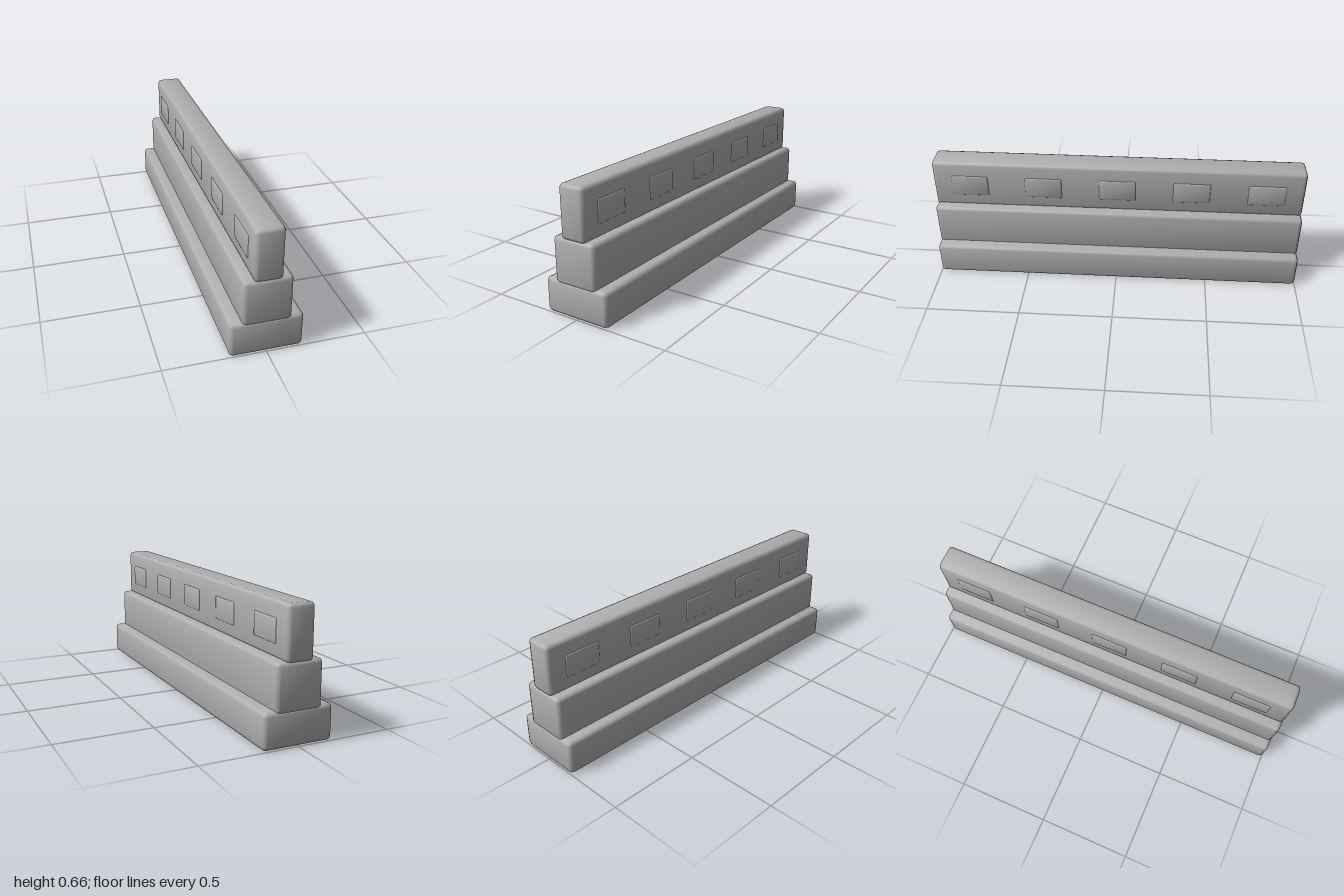
import * as THREE from 'three';
import { RoundedBoxGeometry } from 'three/addons/geometries/RoundedBoxGeometry.js';

const concrete = new THREE.MeshStandardMaterial({ color: 0xb0b0b0 });
concrete.name = 'concrete grey';

// Box with a two-step bevel and softly shaded faces
function softBox(name, w, h, d, r) {
  const geo = new RoundedBoxGeometry(w, h, d, 1, r);
  const pos = geo.attributes.position, nor = geo.attributes.normal;
  const n = new THREE.Vector3();
  for (let i = 0; i < pos.count; i++) {
    // lean every normal a little towards its nearest corner
    n.fromBufferAttribute(nor, i);
    n.x += 0.2 * Math.sign(pos.getX(i));
    n.y += 0.2 * Math.sign(pos.getY(i));
    n.z += 0.2 * Math.sign(pos.getZ(i));
    n.normalize();
    nor.setXYZ(i, n.x, n.y, n.z);
  }
  const mesh = new THREE.Mesh(geo, concrete);
  mesh.name = name;
  return mesh;
}

export function createModel() {
  const model = new THREE.Group();
  model.name = 'steppedBarrier';

  // Three stacked tiers: name, width, bottom, top
  const tiers = [
    ['baseTier', 0.36, 0, 0.18],
    ['middleTier', 0.24, 0.16, 0.4],
    ['topTier', 0.14, 0.39, 0.66],
  ];
  for (const [name, width, bottom, top] of tiers) {
    const tier = softBox(name, width, top - bottom, 2, 0.02);
    tier.position.y = (bottom + top) / 2;
    model.add(tier);
  }

  // Raised panels along both sides of the top tier
  for (const side of [-1, 1]) {
    for (let i = -2; i <= 2; i++) {
      const panel = softBox(side > 0 ? 'leftPanel' : 'rightPanel', 0.02, 0.12, 0.2, 0.008);
      panel.position.set(side * 0.065, 0.52, i * 0.4);
      model.add(panel);
    }
  }
  return model;
}
